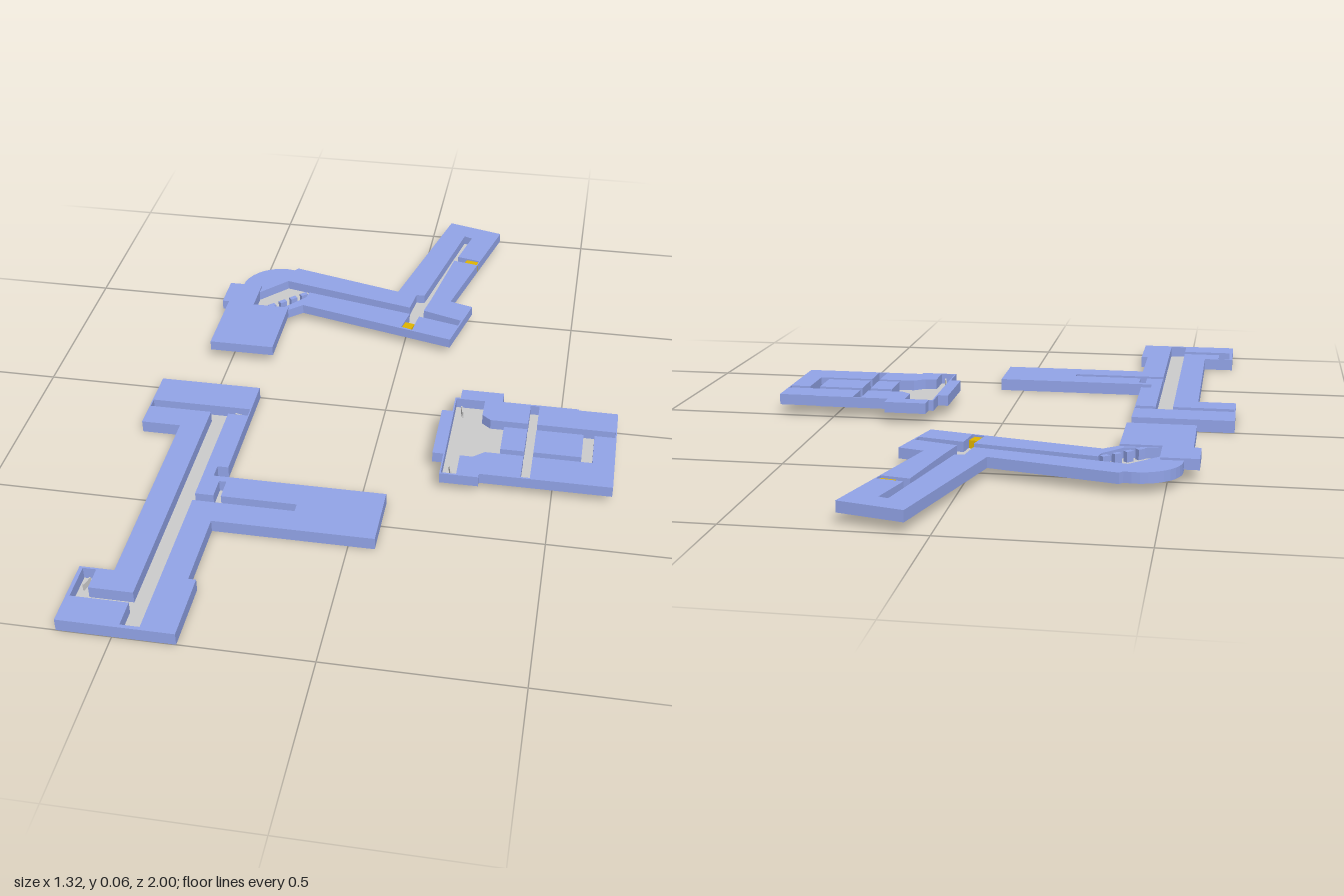
import * as THREE from 'three';

const blue = new THREE.MeshStandardMaterial({ color: 0x92a4e8, side: THREE.DoubleSide, flatShading: true });
const grey = new THREE.MeshStandardMaterial({ color: 0xcccccc, side: THREE.DoubleSide, flatShading: true });
const yellow = new THREE.MeshStandardMaterial({ color: 0xe0b400 });

const rect = (x0, z0, x1, z1) => [[x0, z0], [x1, z0], [x1, z1], [x0, z1]];

// Plan outline [x, z] to a shape that is laid flat with rotateX
function plan(outline, hole) {
  const pts = (list) => list.map(([x, z]) => new THREE.Vector2(x, -z));
  const shape = new THREE.Shape(pts(outline));
  if (hole) shape.holes.push(new THREE.Path(pts(hole)));
  return shape;
}

function mesh(group, name, geometry, material) {
  const m = new THREE.Mesh(geometry, material);
  m.name = name;
  group.add(m);
  return m;
}

// Closed mass with corridors cut through it
function solid(group, name, outline, hole, y0, y1) {
  const g = new THREE.ExtrudeGeometry(plan(outline, hole), { depth: y1 - y0, bevelEnabled: false });
  mesh(group, name, g.rotateX(-Math.PI / 2).translate(0, y0, 0), blue);
}

// Flat sheet, used for floors and roofs
function sheet(group, name, outline, hole, y, material) {
  const g = new THREE.ShapeGeometry(plan(outline, hole));
  mesh(group, name, g.rotateX(-Math.PI / 2).translate(0, y, 0), material);
}

// Upright walls following a closed outline
function walls(group, name, outline, y0, y1) {
  const pos = [];
  outline.forEach(([ax, az], i) => {
    const [bx, bz] = outline[(i + 1) % outline.length];
    pos.push(ax, y0, az, bx, y0, bz, bx, y1, bz, ax, y0, az, bx, y1, bz, ax, y1, az);
  });
  const g = new THREE.BufferGeometry();
  g.setAttribute('position', new THREE.Float32BufferAttribute(pos, 3));
  g.computeVertexNormals();
  mesh(group, name, g, blue);
}

// Roof and walls, open underneath
function shell(group, name, outline, hole, y0, y1) {
  sheet(group, name + 'Roof', outline, hole, y1, blue);
  walls(group, name + 'OuterWalls', outline, y0, y1);
  if (hole) walls(group, name + 'CorridorWalls', hole, y0, y1);
}

function box(group, name, [w, h, d], [x, y, z], turn, material) {
  const m = mesh(group, name, new THREE.BoxGeometry(w, h, d), material);
  m.position.set(x, y, z);
  m.rotation.y = turn;
}

// Long lower building with cross wings
function longBuilding() {
  const g = new THREE.Group();
  g.name = 'longBuilding';
  const outline = [
    [-.66, 0], [-.37, 0], [-.37, .37], [-.40, .37], [-.40, .41], [.07, .41], [.07, .59], [-.36, .59],
    [-.36, .81], [-.34, .81], [-.34, 1], [-.64, 1], [-.64, .81], [-.55, .81], [-.55, .21], [-.66, .21]];
  const corridor = [
    [-.657, .105], [-.373, .105], [-.373, .135], [-.43, .135], [-.43, .49], [-.38, .49], [-.38, .43],
    [-.36, .43], [-.36, .49], [-.155, .49], [-.155, .517], [-.43, .517], [-.43, .99], [-.48, .99],
    [-.48, .915], [-.63, .915], [-.63, .815], [-.595, .815], [-.595, .88], [-.48, .88], [-.48, .135], [-.657, .135]];
  solid(g, 'blocks', outline, corridor, 0, .035);
  sheet(g, 'corridorFloor', corridor, null, .002, grey);
  box(g, 'northDoor', [.03, .02, .004], [-.40, .012, .118], -.3, grey);
  box(g, 'southDoor', [.004, .02, .03], [-.612, .012, .845], -.3, grey);
  return g;
}

// Compact building with a hall and ring corridor
function hallBuilding() {
  const g = new THREE.Group();
  g.name = 'hallBuilding';
  const y0 = .032, y1 = .063;
  const outline = [
    [.17, .055], [.20, .055], [.20, -.01], [.215, -.01], [.215, -.05], [.335, -.05], [.335, -.01], [.55, -.01],
    [.55, -.005], [.66, -.005], [.66, .32], [.305, .32], [.305, .335], [.20, .335], [.20, .25], [.17, .25]];
  const hall = [
    [.204, -.005], [.285, -.005], [.285, .06], [.31, .08], [.415, .08], [.415, -.005], [.44, -.005], [.44, .08],
    [.657, .08], [.657, .105], [.60, .105], [.60, .225], [.44, .225], [.44, .315], [.415, .315], [.415, .225],
    [.31, .225], [.28, .25], [.245, .25], [.245, .33], [.204, .33]];
  shell(g, 'blocks', outline, hall, y0, y1);
  shell(g, 'innerBlockWest', rect(.35, .105, .415, .205), null, y0, y1);
  shell(g, 'innerBlockEast', rect(.44, .105, .57, .205), null, y0, y1);
  sheet(g, 'hallFloor', hall, null, y0 + .001, grey);
  for (const z of [.03, .295]) box(g, 'hallDoor', [.004, .02, .03], [.225, .043, z], .25, grey);
  return g;
}

// Angled building with a rounded corner room and a square wing
function angledBuilding() {
  const g = new THREE.Group();
  g.name = 'angledBuilding';
  const y0 = .028, y1 = .057;
  const arc = [];
  for (let i = 0; i <= 10; i++) {
    const a = Math.PI + (i / 10) * 1.8;
    arc.push([-.425 + .115 * Math.cos(a), -.505 + .115 * Math.sin(a)]);
  }
  const outline = [
    [.06, -1], [.23, -.955], [.12, -.515], [.19, -.495], [.145, -.305], [-.33, -.42], [-.37, -.385],
    [-.54, -.385], ...arc, [-.39, -.63], [-.29, -.605], [-.05, -.545]];
  const corridor = [
    [-.48, -.47], [-.405, -.55], [0, -.46], [.01, -.535], [.035, -.535], [.115, -.92], [.14, -.91],
    [.11, -.785], [.18, -.77], [.175, -.745], [.10, -.76], [.06, -.525], [.045, -.45], [.165, -.413],
    [.16, -.385], [.035, -.415], [.025, -.34], [-.01, -.35], [.005, -.425], [-.325, -.495], [-.33, -.465],
    [-.385, -.40], [-.48, -.392]];
  shell(g, 'blocks', outline, corridor, y0, y1);
  sheet(g, 'corridorFloor', corridor, null, y0 + .001, grey);
  // Raised square wing and its side bay
  const wing = [[-.56, -.17], [-.56, -.395], [-.58, -.395], [-.58, -.50], [-.48, -.50], [-.48, -.39], [-.37, -.39], [-.37, -.17]];
  shell(g, 'squareWing', wing, null, .034, .063);
  // Posts along the slanted side of the room
  for (let i = 0; i < 4; i++) {
    box(g, 'roomPost', [.022, .028, .014], [-.425 + i * .028, .043, -.405 - i * .026], .75, blue);
  }
  box(g, 'armDoor', [.045, .022, .03], [.16, .041, -.768], -.24, yellow);
  box(g, 'crossingDoor', [.03, .022, .04], [.008, .041, -.362], -.24, yellow);
  return g;
}

export function createModel() {
  const model = new THREE.Group();
  model.name = 'buildingComplex';
  model.add(longBuilding(), hallBuilding(), angledBuilding());
  return model;
}
